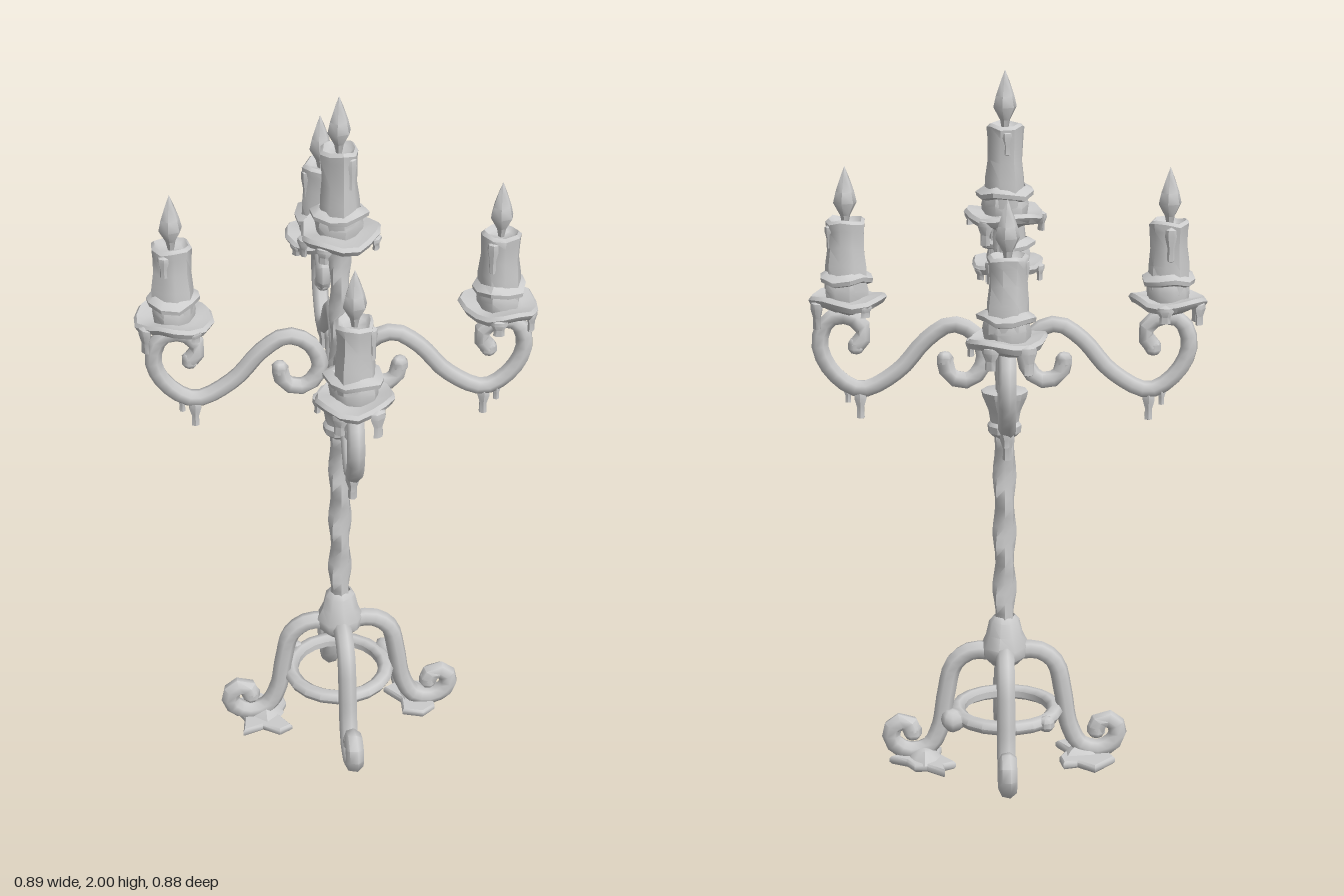
import * as THREE from 'three';
import { toCreasedNormals } from 'three/addons/utils/BufferGeometryUtils.js';

const metal = new THREE.MeshStandardMaterial({ color: 0xcccccc, side: THREE.DoubleSide });

function add(parent, name, geometry, crease = 0.8) {
  const mesh = new THREE.Mesh(toCreasedNormals(geometry, crease), metal);
  mesh.name = name;
  parent.add(mesh);
  return mesh;
}

// Move every vertex by a rule
function reshape(geometry, rule) {
  const p = geometry.attributes.position;
  const v = new THREE.Vector3();
  for (let i = 0; i < p.count; i++) {
    v.fromBufferAttribute(p, i);
    rule(v);
    p.setXYZ(i, v.x, v.y, v.z);
  }
  return geometry;
}

// Uneven hand-made outline: scales the radius and sags the edge
function uneven(geometry, amount, seed) {
  return reshape(geometry, v => {
    const a = Math.atan2(v.z, v.x), r = Math.hypot(v.x, v.z);
    const n = Math.sin(2 * a + seed * 1.7) + 0.7 * Math.sin(5 * a + seed * 2.9) + 0.5 * Math.sin(3 * a + v.y * 25 + seed);
    v.x *= 1 + amount * n;
    v.z *= 1 + amount * n;
    v.y += amount * r * 1.6 * Math.sin(3 * a + seed * 2.1);
  });
}

const lathe = (points, sides) =>
  new THREE.LatheGeometry(points.map(([x, y]) => new THREE.Vector2(x, y)), sides);

// Twisted rod between two heights
function twistedRod(parent, name, y0, y1, radius) {
  const h = y1 - y0;
  const g = new THREE.CylinderGeometry(radius, radius, h, 8, Math.round(h / 0.028), true);
  g.translate(0, (y0 + y1) / 2, 0);
  reshape(g, v => {
    const a = Math.atan2(v.z, v.x);
    const s = 1 + 0.15 * Math.cos(2 * a - v.y * 38) + 0.04 * Math.sin(v.y * 41);
    v.x *= s;
    v.z *= s;
  });
  add(parent, name, g, 1);
}

// Curled bar in the local xy plane with rounded ends
function scroll(parent, name, points, radius, segments) {
  const curve = new THREE.CatmullRomCurve3(points.map(([x, y]) => new THREE.Vector3(x, y, 0)));
  add(parent, name, new THREE.TubeGeometry(curve, segments, radius, 7), 1);
  for (const t of [0, 1]) {
    const g = new THREE.SphereGeometry(radius * 1.05, 7, 5);
    add(parent, name + 'End', g, 1.2).position.copy(curve.getPoint(t));
  }
}

// Hanging wax drip, its top at (x, y, z), broadened across the radius
function drip(parent, x, y, z, length, radius, breadth = 1) {
  const g = lathe([[0, -length], [radius * 0.75, -length * 0.95], [radius * 0.7, -length * 0.55],
    [radius * 1.2, -length * 0.2], [radius * 1.1, 0], [0, 0.008]], 6);
  g.scale(1, 1, breadth);
  const mesh = add(parent, 'waxDrip', g);
  mesh.position.set(x, y, z);
  mesh.rotation.y = Math.atan2(-z, x);
}

// Drip pan, melted collar, candle and flame; drips are [angle, length] on the pan edge
function candle(parent, x, y, z, height, R, seed, drips) {
  const group = new THREE.Group();
  group.name = 'candle';
  group.position.set(x, y, z);
  parent.add(group);
  const top = height;
  add(group, 'dripPan', uneven(lathe([[0, -0.04], [0.035, -0.035], [0.06, -0.022], [R * 0.92, -0.012],
    [R, 0.004], [R * 0.93, 0.014], [0.065, 0.008], [0, 0.01]], 15), 0.05, seed));
  add(group, 'meltedCollar', uneven(lathe([[0.058, 0], [0.062, 0.03], [0.058, 0.048], [0.074, 0.054],
    [0.076, 0.066], [0.054, 0.08]], 10), 0.055, seed + 2));
  add(group, 'candleBody', uneven(lathe([[0.058, 0.03], [0.056, 0.1], [0.05, 0.15], [0.052, top - 0.03],
    [0.054, top - 0.008], [0.045, top], [0.033, top - 0.012], [0, top - 0.016]], 9), 0.06, seed + 4));
  add(group, 'flame', lathe([[0, top - 0.03], [0.009, top - 0.015], [0.014, top + 0.01], [0.033, top + 0.045],
    [0.026, top + 0.075], [0.012, top + 0.115], [0, top + 0.145]], 6), 1);

  for (const [a, length] of drips) {
    drip(group, Math.cos(a) * R * 0.9, 0, Math.sin(a) * R * 0.9, length, 0.012, 1.7);
  }
  // Wax running down the candle
  for (let i = 0; i < 2; i++) {
    const a = seed + i * 2.6;
    drip(group, Math.cos(a) * 0.047, top - 0.02, Math.sin(a) * 0.047, 0.06 + 0.03 * i, 0.01, 1.4);
  }
}

// Spilled wax with a ragged outline on the floor and a lump beside the foot
function puddle(parent, outline, seed) {
  const shape = new THREE.Shape(outline.map(([x, z]) => new THREE.Vector2(x, -z)));
  const g = new THREE.ExtrudeGeometry(shape, { depth: 0.012, bevelEnabled: true,
    bevelThickness: 0.006, bevelSize: 0.005, bevelSegments: 1 });
  g.rotateX(-Math.PI / 2).translate(0, 0.006, 0);
  add(parent, 'waxPuddle', g);
  const [sx, sz] = outline.reduce(([a, b], [x, z]) => [a + x, b + z], [0, 0]);
  const lump = add(parent, 'waxLump', uneven(lathe([[0.055, 0.015], [0.04, 0.032], [0.018, 0.045], [0, 0.05]], 8), 0.08, seed));
  lump.position.set(sx / outline.length, 0, sz / outline.length);
}

export function createModel() {
  const model = new THREE.Group();
  model.name = 'candelabra';

  // Central stem with base, collar and upper cup
  twistedRod(model, 'lowerStem', 0.4, 1.0, 0.03);
  twistedRod(model, 'upperStem', 1.08, 1.57, 0.028);
  add(model, 'stemBase', uneven(lathe([[0, 0.295], [0.04, 0.3], [0.066, 0.325], [0.068, 0.355], [0.052, 0.39],
    [0.043, 0.43], [0.03, 0.445]], 9), 0.03, 1));
  add(model, 'stemCollar', lathe([[0.03, 0.975], [0.046, 0.99], [0.048, 1.01], [0.04, 1.02], [0.045, 1.05],
    [0.062, 1.09], [0.066, 1.108], [0.055, 1.112], [0, 1.112]], 10), 0.6);
  candle(model, 0.004, 1.605, -0.006, 0.25, 0.114, 5.4,
    [[-0.75, 0.1], [-0.2, 0.07], [-2.6, 0.05], [2.9, 0.045], [1.2, 0.035]]);

  // Four scrolled arms, each under its own candle
  const armProfile = [[0.165, 1.195], [0.15, 1.15], [0.095, 1.14], [0.055, 1.2], [0.08, 1.27], [0.145, 1.298],
    [0.215, 1.255], [0.295, 1.165], [0.4, 1.112], [0.475, 1.16], [0.51, 1.24], [0.485, 1.31], [0.425, 1.318],
    [0.385, 1.275], [0.41, 1.235]];
  [[0.33, -0.32], [-0.3, -0.335], [-0.333, 0.3], [0.293, 0.32]].forEach(([x, z], i) => {
    const arm = new THREE.Group();
    arm.name = 'arm';
    arm.rotation.y = Math.atan2(-z, x);
    model.add(arm);
    scroll(arm, 'armScroll', armProfile, 0.024, 34);
    drip(arm, 0.4, 1.1, 0, 0.075, 0.016);
    drip(arm, 0.435, 1.12, 0.004, 0.05, 0.012);
    const out = Math.atan2(z, x);
    candle(model, x, 1.367, z, 0.225, 0.106, i * 1.9 + 1,
      [[out - 0.6, 0.075], [out + 0.5, 0.06], [out + 1.7, 0.045], [out - 2.2, 0.035]]);
  });

  // Four curled legs
  const legProfile = [[0.02, 0.335], [0.095, 0.338], [0.145, 0.3], [0.168, 0.21], [0.185, 0.11], [0.22, 0.045],
    [0.28, 0.033], [0.325, 0.068], [0.318, 0.112], [0.28, 0.122], [0.265, 0.092]];
  for (let i = 0; i < 4; i++) {
    const leg = new THREE.Group();
    leg.name = 'leg';
    leg.rotation.y = Math.PI / 4 + i * Math.PI / 2;
    model.add(leg);
    scroll(leg, 'legScroll', legProfile, 0.027, 24);
  }

  // Ring bracing the legs, with a small knob and a wax blob
  const ring = new THREE.TorusGeometry(0.14, 0.023, 7, 20).rotateX(Math.PI / 2).scale(1, 0.9, 1);
  add(model, 'braceRing', ring, 1).position.set(0, 0.157, -0.006);
  const knob = add(model, 'ringKnob', new THREE.SphereGeometry(0.024, 7, 5), 1);
  knob.position.set(0, 0.157, -0.163);
  const blob = add(model, 'ringWax', uneven(new THREE.SphereGeometry(0.034, 8, 6), 0.08, 3), 1);
  blob.position.set(0.162, 0.157, 0.05);

  // Wax spilled around two of the feet
  puddle(model, [[-0.19, -0.25], [-0.105, -0.255], [-0.1, -0.195], [-0.065, -0.175], [-0.09, -0.14], [-0.15, -0.12],
    [-0.165, -0.06], [-0.2, -0.07], [-0.21, -0.125], [-0.265, -0.15], [-0.215, -0.185]], 0.6);
  puddle(model, [[0.15, 0.06], [0.185, 0.07], [0.21, 0.04], [0.215, 0.1], [0.24, 0.125], [0.23, 0.165], [0.245, 0.215],
    [0.19, 0.2], [0.17, 0.22], [0.125, 0.215], [0.1, 0.165], [0.14, 0.13]], 2.2);
  return model;
}
